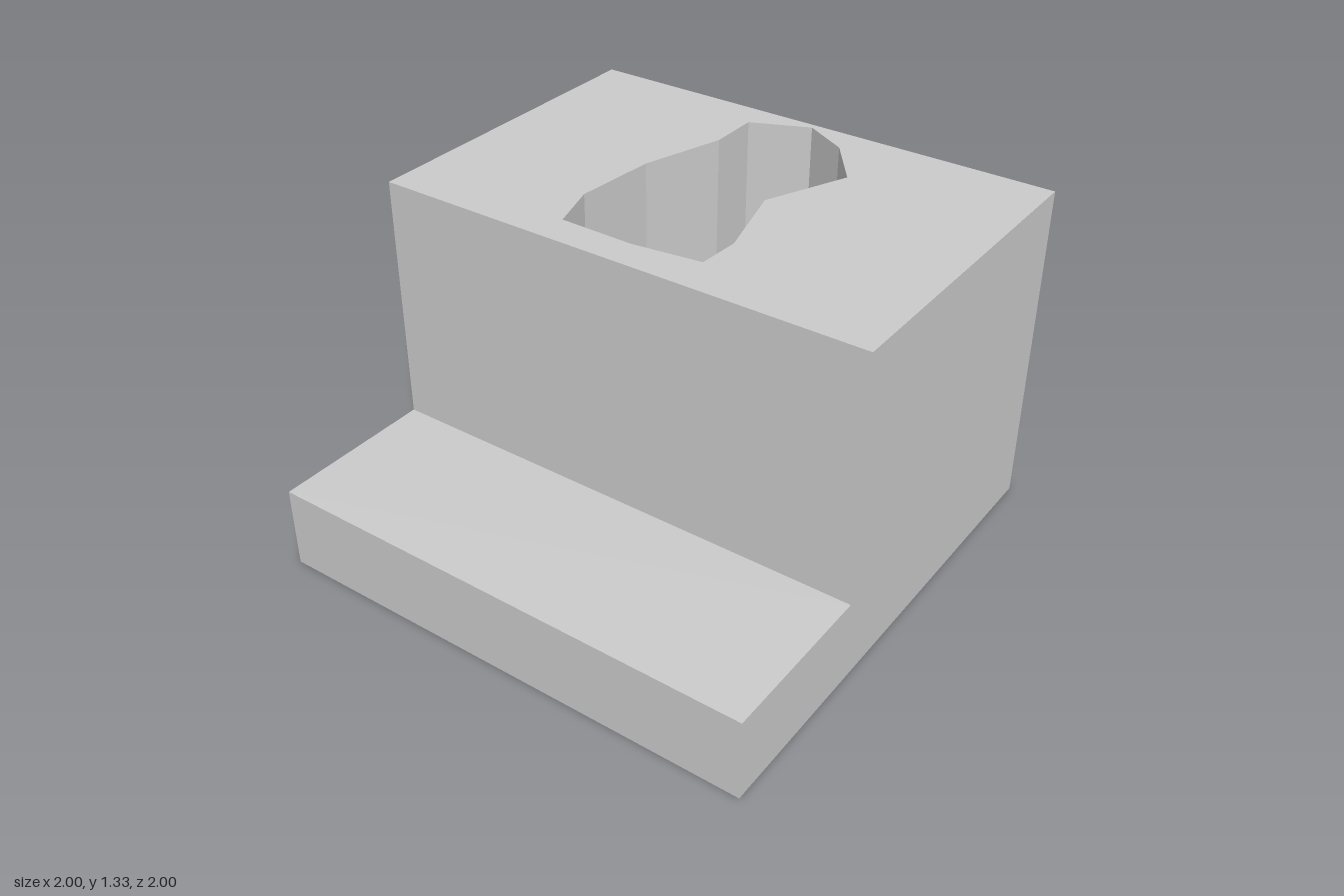
import * as THREE from 'three';

const STEP = 0.333, TOP = 1.333;
const material = new THREE.MeshStandardMaterial({ color: 0xcccccc, flatShading: true });

// Stepped side profile as [z, y], and the outline of the well as [x, z]
const PROFILE = [[1, 0], [1, STEP], [0.335, STEP], [0.335, TOP], [-1, TOP], [-1, 0]];
const FACES = ['stepFront', 'stepTread', 'blockFront', null, 'back', 'bottom'];
const WELL = [
  [0, -0.975], [0.18, -0.875], [0.335, -0.667], [0.19, -0.335], [0.28, 0], [0.27, 0.17],
  [0, 0.205], [-0.3, 0.2], [-0.362, 0], [-0.333, -0.335], [-0.23, -0.667], [-0.23, -0.875],
];

const shapeOf = (points) => new THREE.Shape(points.map(([u, v]) => new THREE.Vector2(u, v)));

// Flat quads, corners counter-clockwise seen from outside
function quads(list) {
  const positions = list.flatMap(([a, b, c, d]) => [a, b, c, a, c, d].flat());
  const geometry = new THREE.BufferGeometry();
  geometry.setAttribute('position', new THREE.Float32BufferAttribute(positions, 3));
  geometry.computeVertexNormals();
  return geometry;
}

export function createModel() {
  const group = new THREE.Group();
  const add = (name, geometry) => {
    const mesh = new THREE.Mesh(geometry, material);
    mesh.name = name;
    group.add(mesh);
    return mesh;
  };

  // Faces swept across the width, leaving out the top
  PROFILE.forEach(([z0, y0], i) => {
    if (!FACES[i]) return;
    const [z1, y1] = PROFILE[(i + 1) % PROFILE.length];
    add(FACES[i], quads([[[-1, y0, z0], [1, y0, z0], [1, y1, z1], [-1, y1, z1]]]));
  });

  // Stepped sides
  for (const side of [1, -1]) {
    const shape = shapeOf(PROFILE.map(([z, y]) => [-side * z, y]));
    const geometry = new THREE.ShapeGeometry(shape).rotateY(side * Math.PI / 2).translate(side, 0, 0);
    add(side > 0 ? 'leftSide' : 'rightSide', geometry);
  }

  // Top with the opening of the well
  const outline = WELL.map(([x, z]) => [x, -z]);
  const top = shapeOf([[-1, -0.335], [1, -0.335], [1, 1], [-1, 1]]);
  top.holes.push(shapeOf(outline));
  add('top', new THREE.ShapeGeometry(top).rotateX(-Math.PI / 2).translate(0, TOP, 0));

  // Well walls and floor, sunk to the height of the step
  add('wellWalls', quads(WELL.map(([x0, z0], i) => {
    const [x1, z1] = WELL[(i + 1) % WELL.length];
    return [[x0, STEP, z0], [x1, STEP, z1], [x1, TOP, z1], [x0, TOP, z0]];
  })));
  add('wellFloor', new THREE.ShapeGeometry(shapeOf(outline)).rotateX(-Math.PI / 2).translate(0, STEP, 0));

  return group;
}
